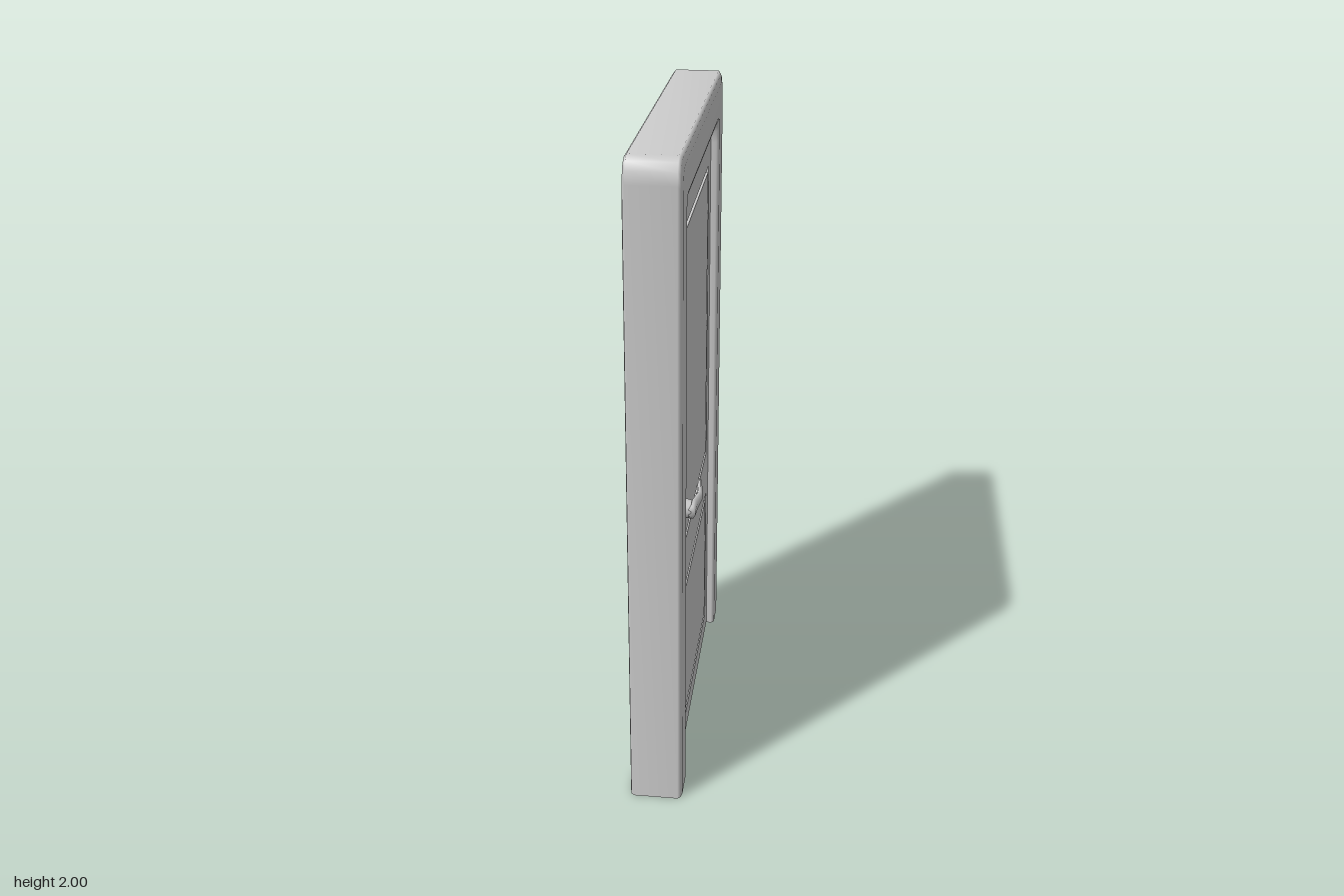
import * as THREE from 'three';

// Surface through matching closed loops of points, optionally capped at both ends
function loft(loops, capped = false) {
  const n = loops[0].length, pos = loops.flat(2), idx = [];
  for (let i = 0; i < loops.length - 1; i++) {
    for (let j = 0; j < n; j++) {
      const a = i * n + j, d = i * n + (j + 1) % n;
      idx.push(a, d, a + n, d, d + n, a + n);
    }
  }
  if (capped) {
    const last = (loops.length - 1) * n;
    for (let j = 1; j < n - 1; j++) {
      idx.push(0, j + 1, j, last, last + j, last + j + 1);
    }
  }
  const g = new THREE.BufferGeometry();
  g.setAttribute('position', new THREE.Float32BufferAttribute(pos, 3));
  g.setIndex(idx);
  g.computeVertexNormals();
  return g;
}

export function createModel() {
  const model = new THREE.Group();
  model.name = 'door';
  const grey = new THREE.MeshStandardMaterial({ color: 0xcccccc, side: THREE.DoubleSide });
  grey.name = 'grey';
  const add = (parent, name, geometry) => {
    const m = new THREE.Mesh(geometry, grey);
    m.name = name;
    parent.add(m);
    return m;
  };

  // Frame: rounded section swept up one jamb, over the head and down the other.
  // Each station: outer z, outer y, inner z, inner y
  const half = [
    [0.563, 0, 0.44, 0], [0.563, 1.93, 0.44, 1.79], [0.557, 1.965, 0.437, 1.825],
    [0.545, 1.988, 0.427, 1.85], [0.52, 2, 0.405, 1.86],
  ];
  const stations = [...half, ...half.slice().reverse().map(([a, b, c, d]) => [-a, b, -c, d])];
  // Section: x and fraction from outer to inner edge
  const side = [[0.068, 0], [0.076, 0.07], [0.08, 0.22], [0.08, 0.88], [0.077, 0.96], [0.07, 1], [0.045, 1]];
  const section = [...side, ...side.slice().reverse().map(([x, t]) => [-x, t])];
  add(model, 'frame', loft(stations.map(([oz, oy, iz, iy]) =>
    section.map(([x, t]) => [x, oy + (iy - oy) * t, oz + (iz - oz) * t]))));

  // Leaf with two panel openings (shape x runs along -z)
  const T = 0.053;
  const rect = (Kind, u0, u1, y0, y1) => new Kind([
    new THREE.Vector2(u0, y0), new THREE.Vector2(u1, y0),
    new THREE.Vector2(u1, y1), new THREE.Vector2(u0, y1),
  ]);
  const panels = [['upper', 0.725, 1.732], ['lower', 0.072, 0.567]];
  const U0 = -0.318, U1 = 0.377, RIM = 0.018;
  const leaf = rect(THREE.Shape, -0.45, 0.45, 0.003, 1.87);
  for (const [, y0, y1] of panels) leaf.holes.push(rect(THREE.Path, U0, U1, y0, y1));
  const leafGeo = new THREE.ExtrudeGeometry(leaf, { depth: 2 * T, bevelEnabled: false });
  leafGeo.translate(0, 0, -T).rotateY(Math.PI / 2);
  add(model, 'leaf', leafGeo);

  // Panels, each set in a shallow groove
  for (const [name, y0, y1] of panels) {
    const w = U1 - U0, h = y1 - y0;
    const groove = add(model, name + 'Groove', new THREE.BoxGeometry(2 * T - 0.016, h, w));
    const panel = add(model, name + 'Panel', new THREE.BoxGeometry(2 * T, h - 2 * RIM, w - 2 * RIM));
    for (const m of [groove, panel]) m.position.set(0, (y0 + y1) / 2, -(U0 + U1) / 2);
  }

  // Handles: round neck and a tapered, bent lever on both faces
  // Lever stations: z, centre x, half depth, half height
  const lever = [
    [0.38, 0.088, 0.011, 0.019], [0.335, 0.09, 0.011, 0.021],
    [0.275, 0.1, 0.009, 0.016], [0.18, 0.0905, 0.006, 0.01],
  ];
  for (const s of [1, -1]) {
    const handle = new THREE.Group();
    handle.name = s > 0 ? 'leftHandle' : 'rightHandle';
    const neck = new THREE.CylinderGeometry(0.026, 0.034, 0.036, 10);
    neck.rotateZ(-Math.PI / 2).translate(0.067, 0.9, 0.355);
    add(handle, 'neck', neck);
    add(handle, 'lever', loft(lever.map(([z, x, rx, ry]) =>
      Array.from({ length: 8 }, (_, k) => {
        const a = -(k + 0.5) * Math.PI / 4, c = 1.08;
        return [x + rx * c * Math.cos(a), 0.9 + ry * c * Math.sin(a), z];
      })), true));
    handle.scale.x = s;
    model.add(handle);
  }
  return model;
}
